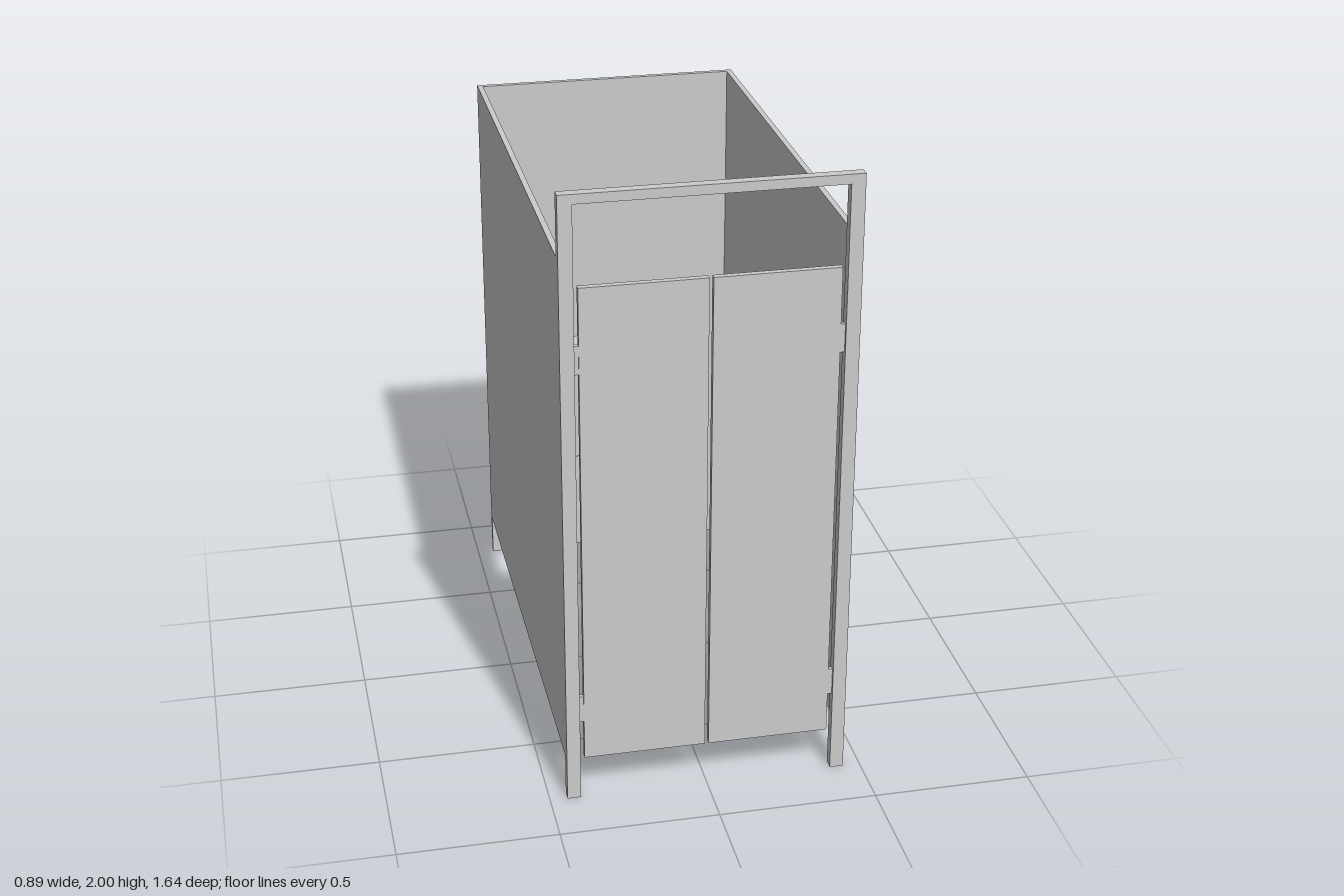
import * as THREE from 'three';
import { RoundedBoxGeometry } from 'three/addons/geometries/RoundedBoxGeometry.js';

const material = new THREE.MeshStandardMaterial({ color: 0xcccccc, flatShading: true });

function add(parent, name, geometry, x = 0, y = 0, z = 0) {
  const mesh = new THREE.Mesh(geometry, material);
  mesh.name = name;
  mesh.position.set(x, y, z);
  parent.add(mesh);
  return mesh;
}

// Box given by its min and max on each axis
function box(parent, name, [x0, x1], [y0, y1], [z0, z1]) {
  return add(parent, name, new THREE.BoxGeometry(x1 - x0, y1 - y0, z1 - z0),
    (x0 + x1) / 2, (y0 + y1) / 2, (z0 + z1) / 2);
}

const mirrored = (side, a, b) => (side > 0 ? [a, b] : [-b, -a]);

export function createModel() {
  const model = new THREE.Group();
  model.name = 'toiletStall';

  // Partition walls; the back one reaches the ground
  box(model, 'backWall', [-0.445, 0.445], [0, 1.805], [-0.82, -0.802]);

  // Front frame: two posts and a top rail
  box(model, 'topRail', [-0.445, 0.445], [1.97, 2], [0.787, 0.82]);

  for (const side of [1, -1]) {
    const label = side > 0 ? 'left' : 'right';
    box(model, label + 'Wall', mirrored(side, 0.427, 0.445), [0.14, 1.805], [-0.802, 0.787]);
    box(model, label + 'Post', mirrored(side, 0.402, 0.445), [0, 1.97], [0.787, 0.82]);
    box(model, label + 'Door', mirrored(side, 0.006, 0.388), [0.14, 1.715], [0.793, 0.813]);
    for (const y of [0.27, 1.445]) {
      box(model, label + 'Hinge', mirrored(side, 0.388, 0.402), [y, y + 0.09], [0.796, 0.81]);
    }
  }

  // Toilet: tapered bowl, oval lid, cistern
  const toilet = new THREE.Group();
  toilet.name = 'toilet';
  model.add(toilet);

  add(toilet, 'bowl', new THREE.CylinderGeometry(0.16, 0.116, 0.4, 12), 0, 0.2, -0.44);

  const lid = add(toilet, 'lid', new THREE.CylinderGeometry(0.16, 0.16, 0.08, 12), 0, 0.44, -0.42);
  lid.scale.z = 1.125;

  box(toilet, 'bowlNeck', [-0.063, 0.063], [0.26, 0.42], [-0.74, -0.5]);
  add(toilet, 'cistern', new RoundedBoxGeometry(0.355, 0.45, 0.086, 1, 0.01), 0, 0.625, -0.763);
  box(toilet, 'flushButton', [-0.055, 0.055], [0.845, 0.872], [-0.79, -0.737]);

  return model;
}
